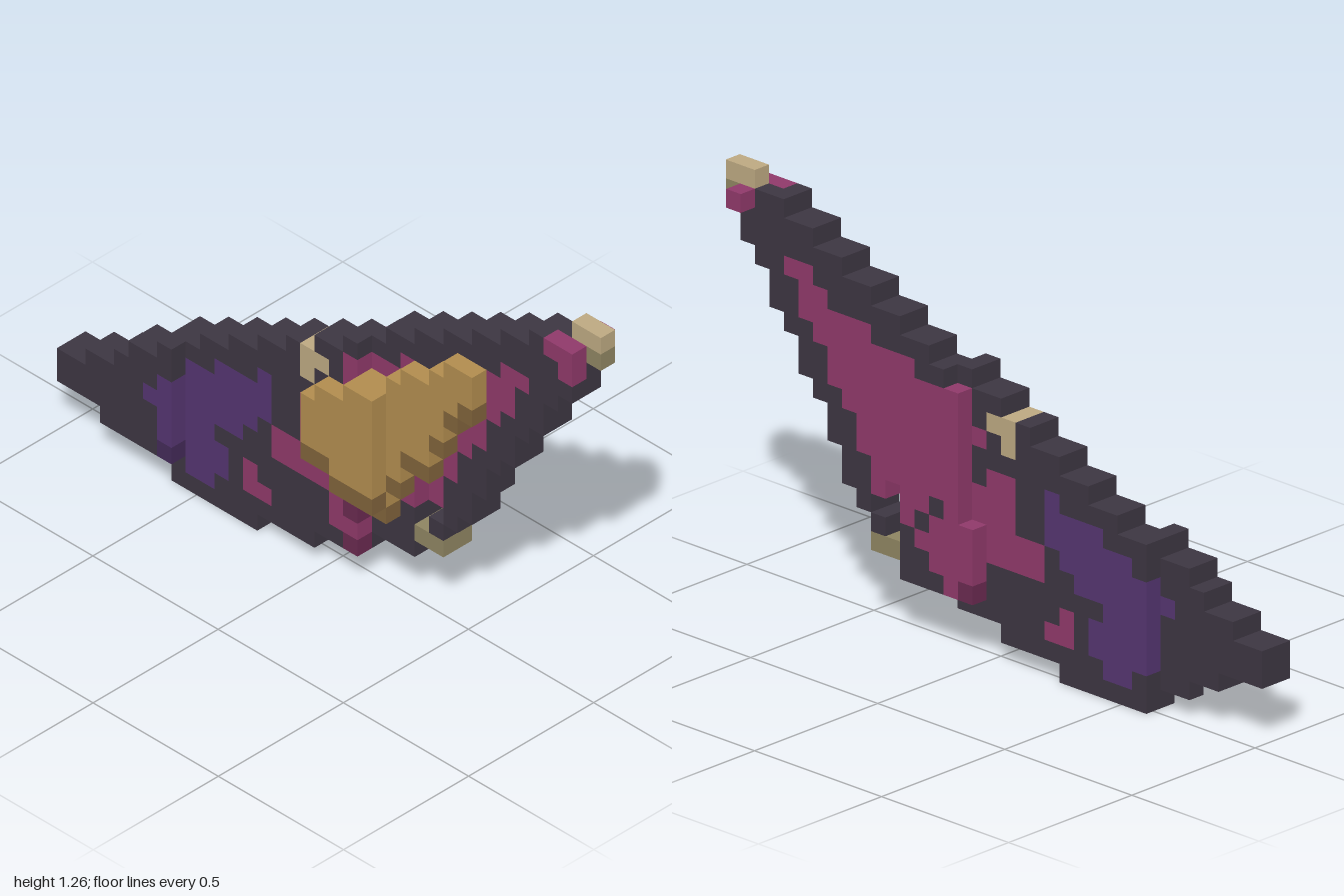
import * as THREE from 'three';

// Block grid: x layer 0..4, y row 0..21 upward, z column 0..34 counted from the front tip.
const U = 2 / 35;
const mat = (name, color) => {
  const m = new THREE.MeshStandardMaterial({ color });
  m.name = name;
  return m;
};

// Outline of the wing: lowest and top row for every column.
const BOTTOM = [20, 18, 17, 15, 14, 12, 11, 9, 7, 6, 7, 8, 3, 3, 3, 2, 2, 2, 1, 1, 1, 1,
  0, 0, 0, 0, 0, 0, 1, 1, 2, 2, 3, 3, 3];
const topOf = (k) => (k < 2 ? 21 : k < 30 ? 22 - Math.floor(k / 2) - (k >= 4 ? 1 : 2) + (k >= 4 ? 1 : 0) - 0
  : k < 31 ? 7 : k < 33 ? 6 : 5);
const wingTop = (k) => (k === 2 || k === 3 ? 21 : k >= 4 && k < 30 ? 22 - Math.floor(k / 2) : topOf(k));

// Painted patches: row, first column, end column.
const PINK = [[17, 4, 6], [16, 5, 7], [15, 5, 10], [14, 6, 13], [13, 7, 16], [12, 7, 16], [11, 8, 17],
  [10, 9, 16], [9, 9, 16], [9, 17, 19], [8, 10, 19], [7, 10, 11], [7, 12, 14], [7, 15, 19], [6, 12, 13],
  [6, 14, 21], [5, 13, 21], [4, 14, 17], [3, 15, 17], [3, 22, 23], [2, 21, 23]];
const PURPLE = [[9, 21, 22], [8, 21, 25], [7, 21, 27], [6, 22, 28], [5, 23, 29], [4, 25, 28],
  [3, 24, 28], [2, 24, 28], [1, 25, 27]];
const within = (spans, j, k) => spans.some(([r, a, b]) => r === j && k >= a && k < b);

// Arm ridge on the right-hand side: layer, column, bottom row, end row.
const ARM = [[1, 7, 14, 17], [1, 8, 13, 17], [1, 9, 11, 16], [1, 10, 9, 15], [1, 11, 9, 15], [1, 12, 7, 14],
  [1, 13, 5, 13], [1, 14, 5, 13], [0, 13, 6, 13], [0, 14, 6, 13], [0, 15, 6, 12], [0, 16, 7, 12], [0, 17, 7, 11]];

// Six faces: outward normal and the two in-plane directions.
const FACES = [
  [[1, 0, 0], [0, 1, 0], [0, 0, 1]], [[-1, 0, 0], [0, 0, 1], [0, 1, 0]],
  [[0, 1, 0], [0, 0, 1], [1, 0, 0]], [[0, -1, 0], [1, 0, 0], [0, 0, 1]],
  [[0, 0, 1], [1, 0, 0], [0, 1, 0]], [[0, 0, -1], [0, 1, 0], [1, 0, 0]],
];

export function createModel() {
  const mats = {
    dark: mat('charcoal', 0x3d3642),
    pink: mat('magenta', 0x90396a),
    deepPink: mat('deep magenta', 0x6a2a50),
    purple: mat('violet', 0x553571),
    deepPurple: mat('deep violet', 0x432a58),
    gold: mat('gold', 0xb28d4f),
    deepGold: mat('bronze', 0x80633b),
    cream: mat('cream', 0xbda982),
    deepCream: mat('olive cream', 0x8f8562),
  };
  const cells = new Map();
  const key = (i, j, k) => `${i},${j},${k}`;
  const put = (i, j, k, part, color) => cells.set(key(i, j, k), { i, j, k, part, color });

  // Wing, two blocks thick and stepping sideways towards the back
  const inLayer = [
    (j, k) => k >= 27 && j >= 2,
    (j, k) => k >= 15,
    (j, k) => k >= 1 && k <= 27,
    (j, k) => j >= 3 && (k <= 14 || (k === 15 && j < 14) || (k === 16 && j < 7)),
  ];
  for (let k = 1; k < 35; k++) {
    for (let j = BOTTOM[k]; j < wingTop(k); j++) {
      const color = within(PINK, j, k) ? 'pink' : within(PURPLE, j, k) ? 'purple' : 'dark';
      inLayer.forEach((test, i) => {
        if (test(j, k)) put(i, j, k, color === 'dark' ? 'wingFrame' : 'wingPatches', color);
      });
    }
  }

  // Shaded and bright blocks where the wing layers step
  put(1, 2, 15, 'wingPatches', 'deepPink');
  put(1, 3, 15, 'wingPatches', 'pink');
  put(1, 4, 15, 'wingPatches', 'deepPink');
  put(3, 3, 16, 'wingPatches', 'deepPink');
  for (let j = 2; j < 6; j++) put(0, j, 27, 'wingPatches', j === 2 ? 'deepPurple' : 'purple');

  // Arm ridge with a darker lower edge
  for (const [i, k, a, b] of ARM) {
    for (let j = a; j < b; j++) put(i, j, k, 'armRidge', j === a ? 'deepGold' : 'gold');
  }

  // Claw at the tip with small magenta knuckles
  put(3, 21, 0, 'tipClaw', 'cream');
  put(3, 21, 1, 'tipClaw', 'cream');
  put(3, 20, 0, 'tipClaw', 'deepCream');
  for (const [i, j, k] of [[4, 20, 1], [2, 20, 1], [2, 19, 1], [2, 20, 2]]) put(i, j, k, 'tipKnuckles', 'pink');

  // Spur on the upper edge and hook on the lower edge
  for (const i of [1, 2]) {
    for (const [j, k] of [[12, 17], [12, 18], [11, 18]]) put(i, j, k, 'edgeSpur', 'cream');
  }
  for (const i of [2, 3]) {
    put(i, 5, 10, 'hookStem', 'dark');
    for (const k of [10, 11]) put(i, 4, k, 'lowerHook', 'deepCream');
  }

  // Gather the exposed block faces of each part and colour
  const batches = new Map();
  for (const { i, j, k, part, color } of cells.values()) {
    const id = `${part}:${color}`;
    if (!batches.has(id)) batches.set(id, { part, color, pos: [], nor: [] });
    const { pos, nor } = batches.get(id);
    const centre = new THREE.Vector3((i - 2) * U, (j + 0.5) * U, 1 - (k + 0.5) * U);
    for (const [n, a, b] of FACES) {
      if (cells.has(key(i + n[0], j + n[1], k - n[2]))) continue;
      for (const [s, t] of [[-1, -1], [1, -1], [1, 1], [-1, -1], [1, 1], [-1, 1]]) {
        const off = [0, 1, 2].map((d) => (n[d] + a[d] * s + b[d] * t) * U / 2);
        pos.push(centre.x + off[0], centre.y + off[1], centre.z + off[2]);
        nor.push(...n);
      }
    }
  }

  const model = new THREE.Group();
  model.name = 'wing';
  const parts = {};
  for (const { part, color, pos, nor } of batches.values()) {
    if (!parts[part]) {
      parts[part] = new THREE.Group();
      parts[part].name = part;
      model.add(parts[part]);
    }
    const geo = new THREE.BufferGeometry();
    geo.setAttribute('position', new THREE.Float32BufferAttribute(pos, 3));
    geo.setAttribute('normal', new THREE.Float32BufferAttribute(nor, 3));
    const mesh = new THREE.Mesh(geo, mats[color]);
    mesh.name = `${part} ${mats[color].name}`;
    parts[part].add(mesh);
  }
  return model;
}
